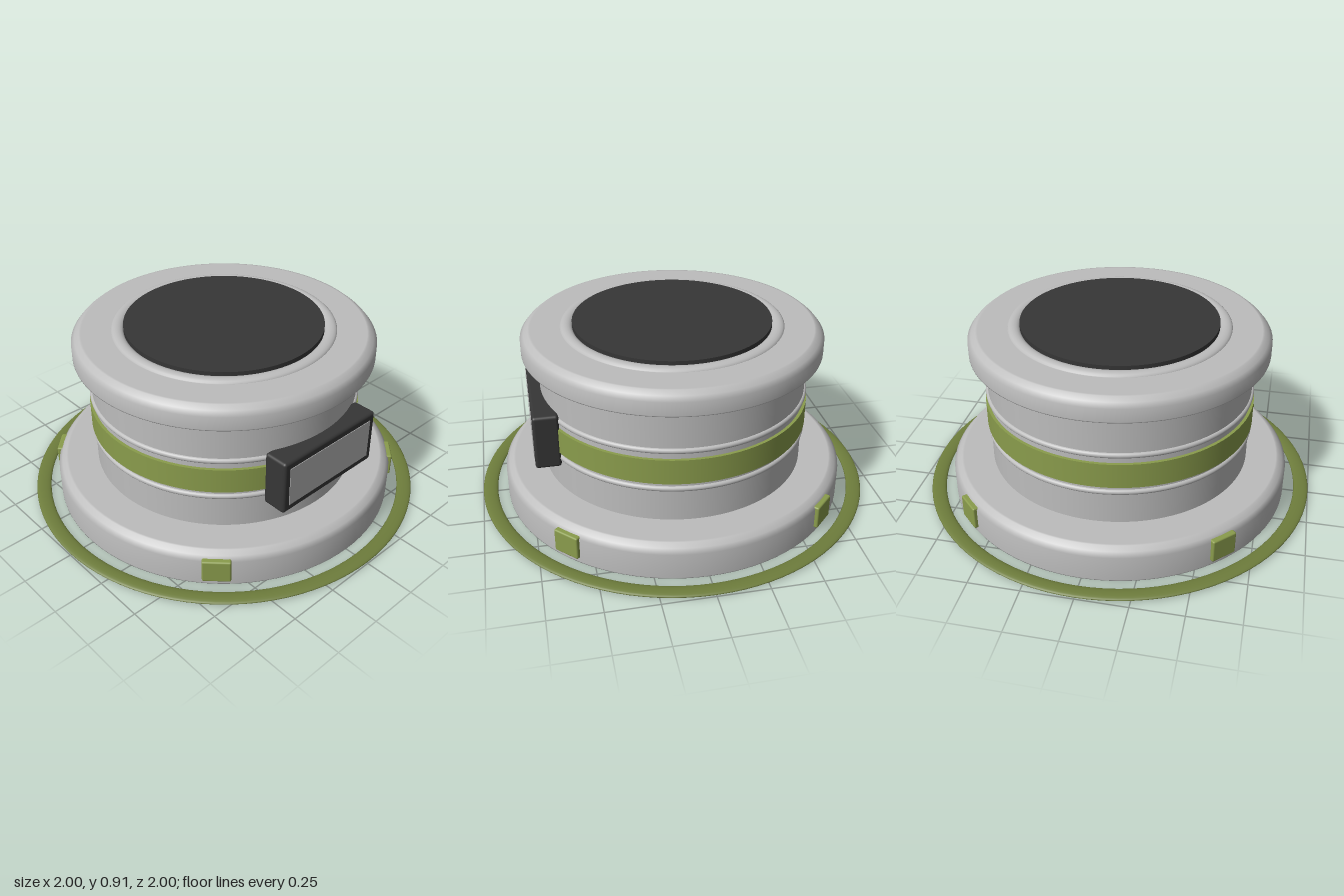
import * as THREE from 'three';
import { RoundedBoxGeometry } from 'three/addons/geometries/RoundedBoxGeometry.js';

const SEG = 96;

function material(name, color) {
  const m = new THREE.MeshStandardMaterial({ color });
  m.name = name;
  return m;
}

export function createModel() {
  const silver = material('silver', 0xbdbdbd);
  const charcoal = material('charcoal', 0x363636);
  const green = material('olive green', 0x8a9c4c);
  const darkGreen = material('dark olive', 0x6e7d3c);
  const screenGrey = material('screen grey', 0xb4b4b4);

  const model = new THREE.Group();
  model.name = 'canister';

  const add = (name, geometry, mat, x = 0, y = 0, z = 0) => {
    const mesh = new THREE.Mesh(geometry, mat);
    mesh.name = name;
    mesh.position.set(x, y, z);
    model.add(mesh);
    return mesh;
  };

  // Solid disc with a bevelled top edge; doubled points keep flat faces flat
  const bevelledDisc = (radius, bottom, top, bevel) => new THREE.LatheGeometry([
    [0, bottom], [radius - 0.006, bottom], [radius, bottom], [radius, bottom + 0.004],
    [radius, top - bevel], [radius - bevel * 0.45, top - bevel * 0.45],
    [radius - bevel, top], [radius - bevel - 0.01, top], [0, top],
  ].map(([x, y]) => new THREE.Vector2(x, y)), SEG);

  const cylinder = (radius, height) => new THREE.CylinderGeometry(radius, radius, height, SEG);

  // Torus lying flat, squashed vertically to the given height
  const flatRing = (radius, tube, height) => new THREE.TorusGeometry(radius, tube, 16, SEG)
    .rotateX(Math.PI / 2)
    .scale(1, height / (2 * tube), 1);

  // Ground ring and foot
  add('groundRing', flatRing(0.963, 0.037, 0.02), darkGreen, 0, 0.01);
  add('base', bevelledDisc(0.87, 0.005, 0.18, 0.04), silver);

  // Drum with coloured band and raised ribs
  add('drum', cylinder(0.665, 0.66), silver, 0, 0.48);
  add('band', cylinder(0.68, 0.127), green, 0, 0.452);
  for (const y of [0.354, 0.556]) add('rib', flatRing(0.663, 0.014, 0.028), silver, 0, y);

  // Lid with rim and dark inset
  add('lid', bevelledDisc(0.742, 0.775, 0.885, 0.04), silver);
  add('lidRim', flatRing(0.518, 0.032, 0.04), silver, 0, 0.88);
  add('lidInset', cylinder(0.488, 0.03), charcoal, 0, 0.895);

  // Display on the front
  add('displayFrame', new RoundedBoxGeometry(0.616, 0.28, 0.125, 3, 0.015), charcoal, 0, 0.45, 0.6625);
  add('displayScreen', new THREE.BoxGeometry(0.545, 0.205, 0.008), screenGrey, 0, 0.45, 0.724);

  // Four clips around the foot
  for (let i = 0; i < 4; i++) {
    const a = Math.PI / 4 + (i * Math.PI) / 2;
    const clip = add('clip', new RoundedBoxGeometry(0.135, 0.118, 0.04, 2, 0.008), green,
      Math.sin(a) * 0.866, 0.092, Math.cos(a) * 0.866);
    clip.rotation.y = a;
  }

  return model;
}
